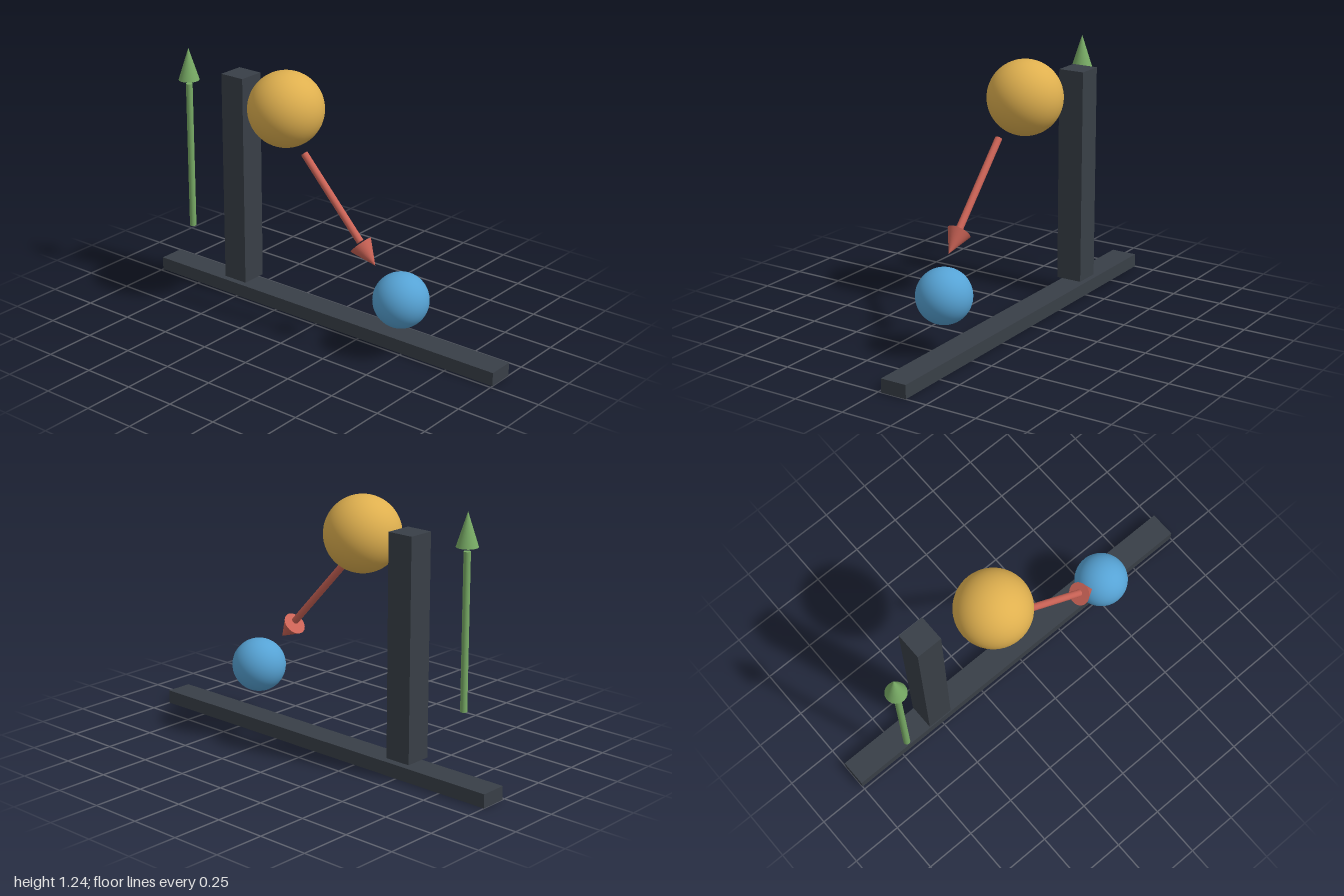
import * as THREE from 'three';

const paint = (name, color) => {
  const m = new THREE.MeshStandardMaterial({ color });
  m.name = name;
  return m;
};

export function createModel() {
  const slate = paint('slate', 0x393f47);
  const gold = paint('gold', 0xdfb04f);
  const blue = paint('blue', 0x56a3d5);
  const green = paint('green', 0x78ab65);
  const red = paint('red', 0xcb6356);

  const model = new THREE.Group();
  model.name = 'forceDiagram';

  const add = (parent, name, geometry, material, x, y, z) => {
    const mesh = new THREE.Mesh(geometry, material);
    mesh.name = name;
    mesh.position.set(x, y, z);
    parent.add(mesh);
    return mesh;
  };

  // Ground bar and upright post, set slightly behind the balls
  add(model, 'groundBar', new THREE.BoxGeometry(2, 0.065, 0.13), slate, 0, 0.0325, -0.08);
  add(model, 'post', new THREE.BoxGeometry(0.13, 1.045, 0.13), slate, -0.51, 0.607, -0.08);

  // Large and small balls
  add(model, 'largeBall', new THREE.SphereGeometry(0.179, 48, 32), gold, -0.167, 1.048, 0);
  add(model, 'smallBall', new THREE.SphereGeometry(0.13, 48, 32), blue, 0.503, 0.28, 0);

  // A rod or cone whose axis runs from one point to another
  const up = new THREE.Vector3(0, 1, 0);
  const span = (parent, name, material, from, to, rTop, rBottom) => {
    const a = new THREE.Vector3(...from);
    const b = new THREE.Vector3(...to);
    const dir = b.clone().sub(a);
    const geometry = new THREE.CylinderGeometry(rTop, rBottom, dir.length(), 32);
    const mid = a.add(b).multiplyScalar(0.5);
    const mesh = add(parent, name, geometry, material, mid.x, mid.y, mid.z);
    mesh.quaternion.setFromUnitVectors(up, dir.normalize());
  };

  // Arrows: a shaft and a separate head with a narrow gap between
  const arrow = (name, material, shaft, head, shaftRadius, headRadius) => {
    const group = new THREE.Group();
    group.name = name;
    span(group, name + 'Shaft', material, shaft[0], shaft[1], shaftRadius, shaftRadius);
    span(group, name + 'Head', material, head[0], head[1], 0, headRadius);
    model.add(group);
  };
  arrow('upArrow', green,
    [[-0.738, 0.33, 0.033], [-0.738, 1.06, 0.033]],
    [[-0.738, 1.08, 0.033], [-0.738, 1.237, 0.033]], 0.016, 0.05);
  arrow('slantArrow', red,
    [[-0.019, 0.879, 0.05], [0.306, 0.53, 0.05]],
    [[0.309, 0.516, 0.05], [0.393, 0.436, 0.05]], 0.017, 0.056);

  return model;
}
